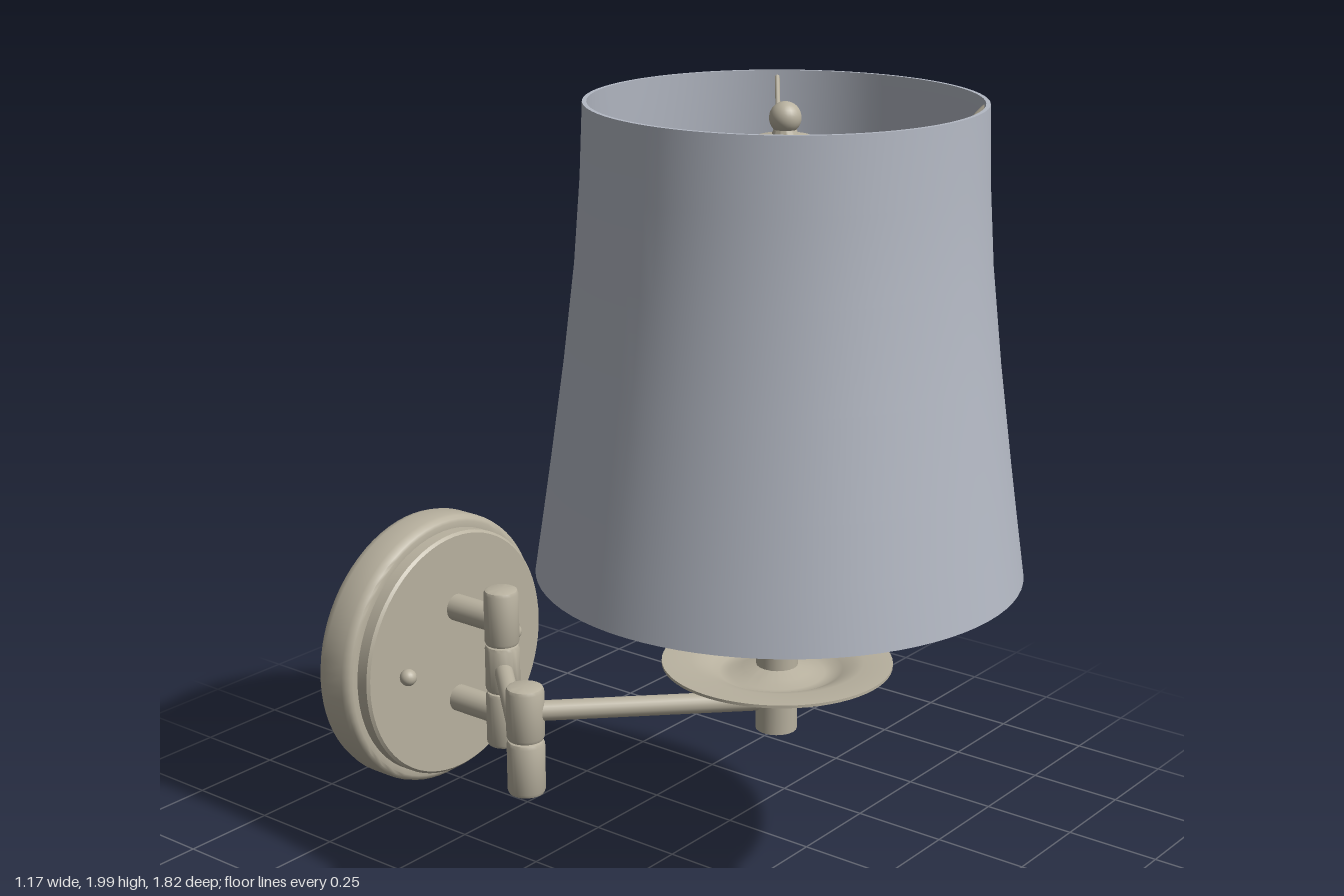
import * as THREE from 'three';
import { toCreasedNormals } from 'three/addons/utils/BufferGeometryUtils.js';

export function createModel() {
  const model = new THREE.Group();
  model.name = 'swingArmWallLamp';
  const metal = new THREE.MeshStandardMaterial({ color: 0xb8b19f });
  metal.name = 'brushed nickel';
  const fabric = new THREE.MeshStandardMaterial({ color: 0xb3b8c3 });
  fabric.name = 'grey fabric';

  const V = (x, y, z) => new THREE.Vector3(x, y, z);
  const LAMP_Z = 0.325, WALL_Z = -0.58, PLATE_Y = 0.385;
  const ELBOW = { x: -0.435, z: -0.11 };

  function add(name, geometry, material = metal) {
    const mesh = new THREE.Mesh(geometry, material);
    mesh.name = name;
    model.add(mesh);
    return mesh;
  }
  // Turned solid; profile runs from bottom to top on the outside
  function turned(profile, segments = 48) {
    const pts = profile.map(([r, y]) => new THREE.Vector2(r, y));
    return toCreasedNormals(new THREE.LatheGeometry(pts, segments), 0.6);
  }
  // Round bar between two points
  function bar(name, a, b, r) {
    const dir = b.clone().sub(a);
    const mesh = add(name, new THREE.CylinderGeometry(r, r, dir.length(), 20));
    mesh.position.copy(a).add(b).multiplyScalar(0.5);
    mesh.quaternion.setFromUnitVectors(V(0, 1, 0), dir.normalize());
    return mesh;
  }
  // Hinge barrel with softened ends
  function barrel(name, x, z, y0, y1, r = 0.047) {
    const c = 0.012;
    const mesh = add(name, turned([[0, y0], [r - c, y0], [r - c * 0.3, y0 + c * 0.3], [r, y0 + c],
      [r, y1 - c], [r - c * 0.3, y1 - c * 0.3], [r - c, y1], [0, y1]], 28));
    mesh.position.set(x, 0, z);
  }

  // Wall plate: rounded drum with a stepped cover
  const plate = add('wallPlate', turned([
    [0, -0.912], [0.34, -0.912], [0.358, -0.907], [0.37, -0.895], [0.376, -0.875],
    [0.376, -0.81], [0.373, -0.797], [0.366, -0.788], [0.358, -0.785], [0.342, -0.785],
    [0.342, -0.752], [0.335, -0.745], [0, -0.745]], 72).rotateX(Math.PI / 2));
  plate.position.y = PLATE_Y;
  for (const s of [-1, 1]) {
    const screw = add('plateScrew', new THREE.SphereGeometry(0.023, 20, 14));
    screw.position.set(s * 0.21, PLATE_Y, -0.728);
    bar('screwNeck', V(s * 0.21, PLATE_Y, -0.75), V(s * 0.21, PLATE_Y, -0.73), 0.015);
    const y = PLATE_Y + s * 0.133;
    bar('plateStub', V(0, y, -0.75), V(0, y, WALL_Z), 0.037);
  }

  // Wall hinge and elbow hinge
  barrel('wallHingeLower', 0, WALL_Z, 0.16, 0.319);
  barrel('wallHingeMiddle', 0, WALL_Z, 0.317, 0.453);
  barrel('wallHingeUpper', 0, WALL_Z, 0.451, 0.61);
  barrel('elbowLower', ELBOW.x, ELBOW.z, 0.318, 0.461);
  barrel('elbowUpper', ELBOW.x, ELBOW.z, 0.459, 0.6);

  // Two swinging arms
  bar('rearArm', V(0, PLATE_Y, WALL_Z), V(ELBOW.x, PLATE_Y, ELBOW.z), 0.025);
  bar('frontArm', V(ELBOW.x, 0.533, ELBOW.z), V(0, 0.533, LAMP_Z), 0.025);

  // Lamp stem, drip dish and socket post
  bar('stem', V(0, 0.46, LAMP_Z), V(0, 1.3, LAMP_Z), 0.051);
  bar('post', V(0, 1.3, LAMP_Z), V(0, 1.91, LAMP_Z), 0.02);
  const dish = add('dripDish', turned([
    [0.05, 0.622], [0.085, 0.612], [0.115, 0.601], [0.145, 0.602], [0.165, 0.613], [0.19, 0.625],
    [0.215, 0.63], [0.281, 0.632], [0.281, 0.639], [0.21, 0.638], [0.185, 0.632], [0.16, 0.62],
    [0.14, 0.609], [0.117, 0.608], [0.085, 0.619], [0.05, 0.629]], 64));
  dish.position.z = LAMP_Z;

  // Open shade with a thin wall
  const outer = [[0.583, 0.88], [0.562, 1.02], [0.54, 1.17], [0.508, 1.4], [0.481, 1.63],
    [0.466, 1.83], [0.459, 2]];
  const inner = outer.map(([r, y]) => [r - 0.01, y]).reverse();
  const shade = add('shade', turned([...outer, ...inner, outer[0]], 80), fabric);
  shade.position.z = LAMP_Z;

  // Finial and washer
  const washer = add('finialWasher', turned([[0, 1.9], [0.062, 1.9], [0.07, 1.908],
    [0.062, 1.918], [0.03, 1.924], [0.02, 1.95], [0, 1.95]], 36));
  washer.position.z = LAMP_Z;
  const finial = add('finial', new THREE.SphereGeometry(0.037, 24, 16));
  finial.position.set(0, 1.96, LAMP_Z);

  // Spider wires from the hub to the shade rim
  const angles = [-0.666, -2.25, 2.476, 0.892];
  for (const a of angles) {
    const p = (r, y) => V(r * Math.cos(a), y, LAMP_Z + r * Math.sin(a));
    const path = new THREE.CatmullRomCurve3(
      [p(0.03, 1.905), p(0.2, 1.905), p(0.35, 1.907), p(0.38, 1.915), p(0.452, 1.985)]);
    add('spiderWire', new THREE.TubeGeometry(path, 24, 0.006, 8));
  }

  // Harp bowing out below the hub
  for (const a of [angles[0], angles[0] + Math.PI]) {
    const p = (r, y) => V(r * Math.cos(a), y, LAMP_Z + r * Math.sin(a));
    const path = new THREE.CatmullRomCurve3(
      [p(0.03, 1.9), p(0.07, 1.89), p(0.12, 1.79), p(0.16, 1.6), p(0.13, 1.38), p(0.04, 1.27)]);
    add('harp', new THREE.TubeGeometry(path, 32, 0.008, 8));
  }
  return model;
}
